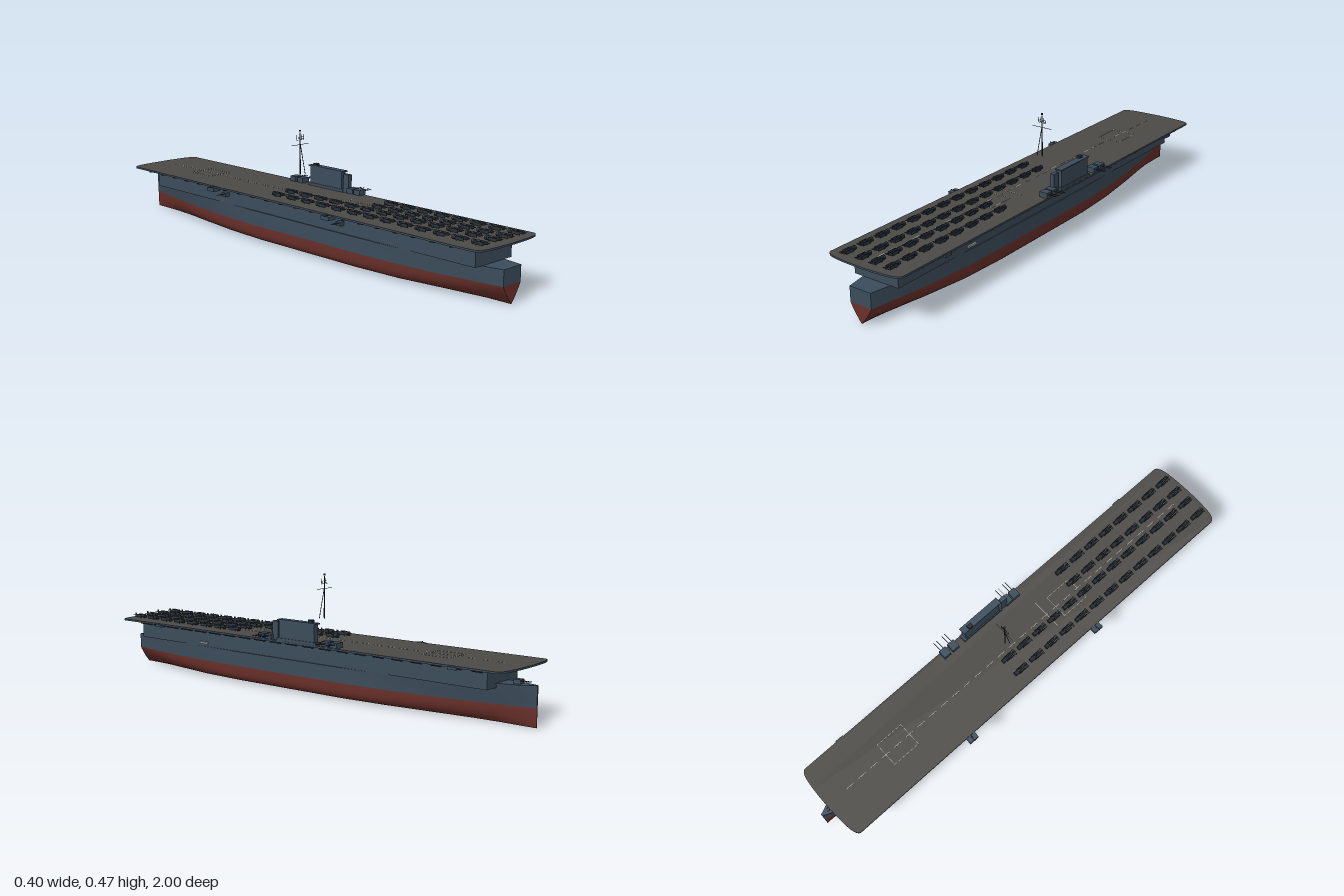
import * as THREE from 'three';
import { toCreasedNormals } from 'three/addons/utils/BufferGeometryUtils.js';

const mat = (color) => new THREE.MeshStandardMaterial({ color, side: THREE.DoubleSide });
const steel = mat(0x3c4c5b), red = mat(0x6a302a), deckGrey = mat(0x4c4a46);
const dark = mat(0x23292f), paint = mat(0xa0a09a), planeBlue = mat(0x2a333c);
const CX = -0.008; // ship centreline

function add(parent, name, geometry, material, x = 0, y = 0, z = 0) {
  const mesh = new THREE.Mesh(geometry, material);
  mesh.name = name;
  mesh.position.set(x, y, z);
  parent.add(mesh);
  return mesh;
}

const box = (parent, name, w, h, d, material, x, y, z) =>
  add(parent, name, new THREE.BoxGeometry(w, h, d), material, x, y, z);

// Thin round bar between two points
function bar(parent, name, a, b, r, material) {
  const from = new THREE.Vector3(...a), to = new THREE.Vector3(...b);
  const dir = to.clone().sub(from);
  const mesh = add(parent, name, new THREE.CylinderGeometry(r, r, dir.length(), 6), material);
  mesh.position.copy(from).add(to).multiplyScalar(0.5);
  mesh.quaternion.setFromUnitVectors(new THREE.Vector3(0, 1, 0), dir.normalize());
  return mesh;
}

// Skin closed rings (counterclockwise from +z, running towards -z) and cap the ends
function loft(rings) {
  const n = rings[0].length, index = [];
  for (let i = 0; i < rings.length - 1; i++) {
    for (let j = 0; j < n; j++) {
      const a = i * n + j, b = i * n + (j + 1) % n;
      index.push(a, a + n, b, b, a + n, b + n);
    }
  }
  const last = (rings.length - 1) * n;
  for (let j = 1; j < n - 1; j++) index.push(0, j, j + 1, last, last + j + 1, last + j);
  const g = new THREE.BufferGeometry();
  g.setAttribute('position', new THREE.Float32BufferAttribute(rings.flat(2), 3));
  g.setIndex(index);
  return toCreasedNormals(g, 0.5);
}

// Hull stations: z, waterline half width, top half width, top height, section exponent (2 = V, 0.5 = boxy)
const stations = [
  [1, 0.048, 0.048, 0.13, 1.8], [0.9, 0.064, 0.066, 0.13, 1.3], [0.75, 0.085, 0.088, 0.13, 0.9],
  [0.55, 0.101, 0.102, 0.13, 0.6], [0.35, 0.105, 0.105, 0.13, 0.5], [-0.2, 0.105, 0.105, 0.13, 0.5],
  [-0.4, 0.096, 0.099, 0.13, 0.58], [-0.6, 0.074, 0.082, 0.13, 0.75], [-0.75, 0.05, 0.06, 0.13, 0.95],
  [-0.85, 0.032, 0.044, 0.132, 1.15], [-0.86, 0.03, 0.042, 0.146, 1.15],
  [-0.95, 0.013, 0.025, 0.148, 1.4], [-1, 0.002, 0.004, 0.15, 1.6],
];

function buildHull(ship) {
  const water = 0.07, steps = 18;
  const lower = stations.map(([z, w, , , e]) => Array.from({ length: steps + 1 }, (_, i) => {
    const t = (i / steps - 0.5) * Math.PI;
    const c = Math.max(0, Math.cos(t));
    return [w * Math.sign(t) * Math.abs(Math.sin(t)) ** e, water * (1 - c ** e), z];
  }));
  const upper = stations.map(([z, w, top, y]) => [[-w, water, z], [w, water, z], [top, y, z], [-top, y, z]]);
  add(ship, 'lowerHull', loft(lower), red);
  add(ship, 'upperHull', loft(upper), steel);
  box(ship, 'hangar', 0.2, 0.076, 1.78, steel, 0, 0.168, 0.03);
}

function buildDeck(ship) {
  // Flight deck with bowed ends
  const s = new THREE.Shape();
  s.moveTo(-0.166, -0.965);
  s.quadraticCurveTo(-0.16, -0.985, -0.11, -0.99);
  s.quadraticCurveTo(0, -1, 0.11, -0.99);
  s.quadraticCurveTo(0.16, -0.985, 0.166, -0.965);
  s.lineTo(0.166, 0.935);
  s.quadraticCurveTo(0.16, 0.953, 0.11, 0.958);
  s.quadraticCurveTo(0, 0.968, -0.11, 0.958);
  s.quadraticCurveTo(-0.16, 0.953, -0.166, 0.935);
  const g = new THREE.ExtrudeGeometry(s, { depth: 0.007, bevelEnabled: false, curveSegments: 8 });
  add(ship, 'flightDeck', g.rotateX(-Math.PI / 2), [deckGrey, steel], 0, 0.206, 0);

  // Painted centreline, lift outlines and barrier line
  const mark = (name, w, d, x, z) => box(ship, name, w, 0.0008, d, paint, x, 0.2133, z);
  for (let z = -0.85; z < 0.9; z += 0.06) mark('centreDash', 0.003, 0.035, -0.003, z);
  for (const z of [-0.61, 0.29]) {
    for (const k of [-1, 1]) {
      mark('liftOutline', 0.105, 0.002, -0.003, z + k * 0.06);
      mark('liftOutline', 0.002, 0.122, -0.003 + k * 0.052, z);
    }
  }
  mark('barrierLine', 0.13, 0.003, 0, 0.18);

  // Brackets and edge walkways beneath the overhang
  const t = new THREE.Shape([[0, 0], [0, 0.018], [0.062, 0.018], [0.062, 0.014]].map(p => new THREE.Vector2(...p)));
  const bracket = new THREE.ExtrudeGeometry(t, { depth: 0.005, bevelEnabled: false });
  for (const side of [-1, 1]) {
    for (let i = 0; i < 21; i++) {
      const m = add(ship, 'deckBracket', bracket, dark, side * 0.099, 0.187, -0.84 + i * 0.085);
      if (side < 0) m.rotation.y = Math.PI;
    }
    box(ship, 'sternBeam', 0.04, 0.012, 0.04, steel, side * 0.04, 0.2, 0.94);
    box(ship, 'bowBeam', 0.04, 0.012, 0.04, steel, side * 0.04, 0.2, -0.88);
  }
}

// Twin gun mount with barrels towards +x
function gunMount(parent, x, y, z, turn = 0, scale = 1) {
  const g = new THREE.Group();
  g.name = 'gunMount';
  box(g, 'gunHouse', 0.036, 0.02, 0.032, steel, 0, 0.012, 0);
  add(g, 'gunBase', new THREE.CylinderGeometry(0.015, 0.015, 0.004, 12), steel, 0, 0.002, 0);
  for (const k of [-1, 1]) bar(g, 'gunBarrel', [0.015, 0.015, k * 0.007], [0.06, 0.015, k * 0.007], 0.0014, dark);
  g.position.set(x, y, z);
  g.rotation.y = turn;
  g.scale.setScalar(scale);
  parent.add(g);
}

function buildIsland(ship) {
  const x = 0.149;
  box(ship, 'islandTower', 0.024, 0.08, 0.18, steel, x, 0.253, -0.04);
  box(ship, 'islandRoof', 0.03, 0.005, 0.195, steel, x, 0.295, -0.04);
  box(ship, 'islandFoot', 0.032, 0.012, 0.2, steel, x, 0.218, -0.04);
  box(ship, 'director', 0.018, 0.075, 0.03, steel, x - 0.004, 0.25, 0.076);
  box(ship, 'lookout', 0.016, 0.01, 0.02, dark, x - 0.006, 0.302, -0.1);
  for (const z of [0.14, 0.102, -0.187, -0.23]) gunMount(ship, x, 0.213, z);
}

function buildMast(ship) {
  const mast = new THREE.Group();
  mast.name = 'mast';
  mast.position.z = -0.045;
  ship.add(mast);
  bar(mast, 'pole', [0, 0.292, 0], [0, 0.458, 0], 0.0022, dark);
  for (const k of [-1, 1]) {
    bar(mast, 'mastLeg', [k * 0.014, 0.292, 0.014], [0, 0.415, 0], 0.0014, dark);
    bar(mast, 'radarPost', [k * 0.019, 0.428, 0], [k * 0.019, 0.45, 0], 0.0008, dark);
    bar(mast, 'radarPost', [k * 0.009, 0.428, 0], [k * 0.009, 0.45, 0], 0.0006, dark);
  }
  bar(mast, 'yard', [-0.045, 0.41, 0], [0.045, 0.41, 0], 0.001, dark);
  for (const y of [0.429, 0.434, 0.44]) bar(mast, 'radarRail', [-0.019, y, 0], [0.019, y, 0], 0.0008, dark);
  add(mast, 'mastTop', new THREE.CylinderGeometry(0.004, 0.004, 0.006, 10), dark, 0, 0.465, 0);
}

// Parked aircraft, nose towards the bow (-z), wings folded along the body
function aircraft() {
  const a = new THREE.Group();
  a.name = 'aircraft';
  const body = new THREE.CylinderGeometry(0.002, 0.0075, 0.055, 10).rotateX(Math.PI / 2);
  add(a, 'body', body, planeBlue, 0, 0.01, 0.004);
  add(a, 'engine', new THREE.CylinderGeometry(0.0085, 0.0085, 0.01, 12).rotateX(Math.PI / 2), dark, 0, 0.01, -0.027);
  add(a, 'canopy', new THREE.SphereGeometry(0.005, 8, 6).scale(0.8, 0.8, 2), dark, 0, 0.0155, -0.007);
  box(a, 'tailplane', 0.026, 0.0012, 0.008, planeBlue, 0, 0.011, 0.029);
  box(a, 'fin', 0.0012, 0.009, 0.008, planeBlue, 0, 0.0145, 0.029);
  for (const k of [-1, 1]) {
    box(a, 'foldedWing', 0.0015, 0.012, 0.036, planeBlue, k * 0.0095, 0.01, 0.003);
    box(a, 'wingRoot', 0.01, 0.0015, 0.014, planeBlue, k * 0.006, 0.007, -0.01);
    const wheel = new THREE.CylinderGeometry(0.003, 0.003, 0.002, 8).rotateZ(Math.PI / 2);
    add(a, 'wheel', wheel, dark, k * 0.007, 0.003, -0.012);
  }
  return a;
}

export function createModel() {
  const model = new THREE.Group();
  model.name = 'aircraftCarrier';
  const ship = new THREE.Group();
  ship.name = 'ship';
  ship.position.x = CX;
  model.add(ship);

  buildHull(ship);
  buildDeck(ship);
  buildIsland(ship);
  buildMast(ship);

  // Aircraft columns: x, number parked
  const template = aircraft();
  for (const [x, count] of [[-0.104, 13], [-0.033, 13], [0.03, 8], [0.097, 8]]) {
    for (let i = 0; i < count; i++) {
      const a = template.clone();
      a.position.set(x, 0.213, 0.94 - i * 0.083);
      ship.add(a);
    }
  }

  // Side platforms, hull guns, bow gun and boat
  for (const z of [-0.38, 0.29]) {
    box(ship, 'gunPlatform', 0.036, 0.014, 0.042, steel, -0.172, 0.203, z);
    bar(ship, 'platformGun', [-0.165, 0.211, z], [-0.195, 0.211, z], 0.0015, dark);
    gunMount(ship, -0.108, 0.161, z, Math.PI, 0.75);
  }
  for (const z of [-0.76, 0.74]) box(ship, 'edgeTub', 0.014, 0.01, 0.036, steel, 0.164, 0.204, z);
  gunMount(ship, 0, 0.146, -0.925, Math.PI / 2, 0.8);
  box(ship, 'boat', 0.01, 0.008, 0.045, paint, 0.102, 0.145, 0.53);
  return model;
}
